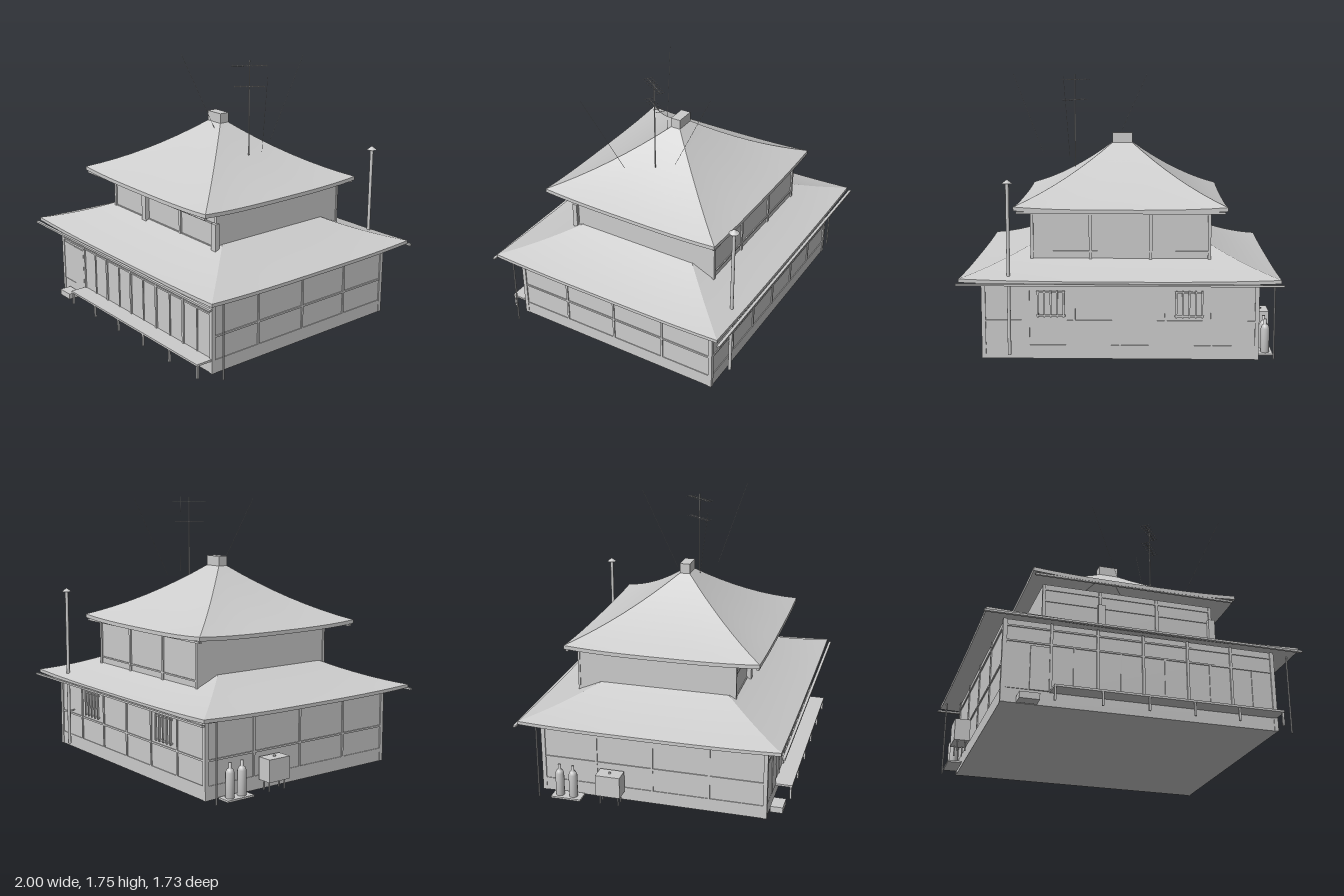
import * as THREE from 'three';

const plaster = new THREE.MeshStandardMaterial({ color: 0xcccccc });
plaster.name = 'plain grey';

function add(parent, geometry, name) {
  const mesh = new THREE.Mesh(geometry, plaster);
  mesh.name = name;
  parent.add(mesh);
  return mesh;
}

// Box given by its min and max on each axis
function box(parent, name, x0, x1, y0, y1, z0, z1) {
  const mesh = add(parent, new THREE.BoxGeometry(x1 - x0, y1 - y0, z1 - z0), name);
  mesh.position.set((x0 + x1) / 2, (y0 + y1) / 2, (z0 + z1) / 2);
  return mesh;
}

// Round rod between two points
function rod(parent, name, a, b, r, sides = 6) {
  const p = new THREE.Vector3(...a), q = new THREE.Vector3(...b);
  const d = q.clone().sub(p);
  const mesh = add(parent, new THREE.CylinderGeometry(r, r, d.length(), sides), name);
  mesh.position.copy(p).add(q).multiplyScalar(0.5);
  mesh.quaternion.setFromUnitVectors(new THREE.Vector3(0, 1, 0), d.normalize());
  return mesh;
}

// Hipped roof shell: concave slope, eaves lifted at the corners
function hipRoof(parent, name, o) {
  const NU = 12, NV = 8;
  const group = new THREE.Group();
  group.name = name;
  parent.add(group);
  for (let side = 0; side < 4; side++) {
    const point = (s, t, drop) => {
      const hx = THREE.MathUtils.lerp(o.hx, o.tx, t), hz = THREE.MathUtils.lerp(o.hz, o.tz, t);
      const rise = (1 - o.curve) * t + o.curve * t * t;
      const y = o.y0 + (o.y1 - o.y0) * rise + o.lift * Math.abs(s) ** 3 * (1 - t) ** 2 - drop;
      return [[s * hx, y, hz], [hx, y, -s * hz], [-s * hx, y, -hz], [-hx, y, s * hz]][side];
    };
    const sheet = (label, rows) => {
      const pos = [], idx = [];
      rows.forEach(([t, drop]) => {
        for (let i = 0; i <= NU; i++) pos.push(...point(2 * i / NU - 1, t, drop));
      });
      for (let j = 0; j < rows.length - 1; j++) {
        for (let i = 0; i < NU; i++) {
          const a = j * (NU + 1) + i, c = a + NU + 1;
          idx.push(a, a + 1, c + 1, a, c + 1, c);
        }
      }
      const g = new THREE.BufferGeometry();
      g.setAttribute('position', new THREE.Float32BufferAttribute(pos, 3));
      g.setIndex(idx);
      g.computeVertexNormals();
      add(group, g, label);
    };
    const steps = Array.from({ length: NV + 1 }, (_, j) => j / NV);
    sheet('roofSlope', steps.map(t => [t, 0]));
    sheet('eaveFascia', [[0, o.thick], [0, 0]]);
    sheet('soffit', steps.map(t => [t, o.thick]).reverse());
  }
}

export function createModel() {
  const house = new THREE.Group();
  house.name = 'house';

  // Ground floor
  box(house, 'lowerWalls', -0.855, 0.855, 0, 0.52, -0.732, 0.732);
  box(house, 'plinth', -0.86, 0.86, 0, 0.087, -0.737, 0.737);
  for (const sx of [-1, 1]) {
    const a = sx * 0.853, b = sx * 0.862, x0 = Math.min(a, b), x1 = Math.max(a, b);
    for (const z of [-0.37, 0, 0.37]) box(house, 'sidePost', x0, x1, 0.087, 0.52, z - 0.007, z + 0.007);
    for (const y of [0.24, 0.47]) box(house, 'sideBatten', x0, x1, y - 0.006, y + 0.006, -0.732, 0.732);
    for (const sz of [-1, 1]) {
      box(house, 'cornerPost', sx * 0.85 - 0.013, sx * 0.85 + 0.013, 0, 0.52, sz * 0.728 - 0.013, sz * 0.728 + 0.013);
    }
  }

  // Back wall timbers and barred windows
  for (const x of [-0.57, -0.285, 0, 0.285, 0.57]) {
    box(house, 'backPost', x - 0.007, x + 0.007, 0.087, 0.52, -0.739, -0.73);
  }
  for (const y of [0.24, 0.47]) box(house, 'backBatten', -0.855, 0.855, y - 0.006, y + 0.006, -0.738, -0.73);
  for (const x of [-0.43, 0.43]) {
    for (const y of [0.275, 0.425]) box(house, 'windowRail', x - 0.09, x + 0.09, y - 0.005, y + 0.005, -0.742, -0.73);
    for (let i = 0; i < 5; i++) {
      const bx = x - 0.08 + i * 0.04;
      box(house, 'windowBar', bx - 0.005, bx + 0.005, 0.265, 0.435, -0.748, -0.738);
    }
  }

  // Front sliding doors
  for (const x of [-0.57, -0.285, 0, 0.285, 0.57]) {
    box(house, 'frontPost', x - 0.008, x + 0.008, 0.087, 0.52, 0.73, 0.742);
  }
  for (const x of [-0.43, -0.14, 0.14, 0.43, 0.71]) {
    box(house, 'doorMullion', x - 0.005, x + 0.005, 0.095, 0.385, 0.73, 0.738);
  }
  for (const y of [0.385, 0.48]) box(house, 'frontBatten', -0.855, 0.855, y - 0.005, y + 0.005, 0.73, 0.739);
  box(house, 'entranceDoorLeft', -0.84, -0.7, 0.09, 0.365, 0.73, 0.737);
  box(house, 'entranceDoorRight', -0.695, -0.58, 0.09, 0.365, 0.73, 0.742);

  // Veranda deck and step
  box(house, 'verandaDeck', -0.575, 0.855, 0.083, 0.096, 0.73, 0.85);
  for (let i = 0; i < 6; i++) {
    const x = -0.568 + i * 0.283;
    box(house, 'verandaPost', x - 0.006, x + 0.006, 0, 0.084, 0.834, 0.846);
  }
  box(house, 'entranceStep', -0.77, -0.65, 0, 0.04, 0.745, 0.825);

  // Roofs and ridge cap
  hipRoof(house, 'lowerRoof', { hx: 0.985, hz: 0.84, tx: 0.57, tz: 0.425, y0: 0.513, y1: 0.675, curve: 0.25, lift: 0.015, thick: 0.022 });
  hipRoof(house, 'upperRoof', { hx: 0.67, hz: 0.637, tx: 0.06, tz: 0.027, y0: 0.924, y1: 1.3, curve: 0.32, lift: 0.018, thick: 0.025 });
  box(house, 'ridgeCap', -0.067, 0.067, 1.292, 1.36, -0.034, 0.034);

  // Gutters and downpipes
  for (const s of [-1, 1]) {
    box(house, 'lowerGutter', -1, 1, 0.49, 0.502, s * 0.857 - 0.009, s * 0.857 + 0.009);
    box(house, 'upperGutter', -0.655, 0.655, 0.898, 0.91, s * 0.622 - 0.008, s * 0.622 + 0.008);
    rod(house, 'downpipe', [s * 0.957, 0, s * 0.73], [s * 0.957, 0.51, s * 0.73], 0.005, 8);
  }

  // Upper floor
  box(house, 'upperWalls', -0.565, 0.565, 0.5, 0.925, -0.575, 0.462);
  for (const x of [-0.56, -0.19, 0.19, 0.56]) {
    box(house, 'upperFrontPost', x - 0.01, x + 0.01, 0.6, 0.92, 0.455, 0.472);
    box(house, 'upperBackPost', x - 0.01, x + 0.01, 0.57, 0.92, -0.584, -0.57);
  }
  for (const y of [0.655, 0.81, 0.89]) box(house, 'upperFrontBatten', -0.565, 0.565, y - 0.005, y + 0.005, 0.46, 0.468);
  for (const y of [0.65, 0.89]) box(house, 'upperBackBatten', -0.565, 0.565, y - 0.005, y + 0.005, -0.581, -0.57);
  for (const x of [-0.187, 0.562]) box(house, 'shutterBox', x - 0.022, x + 0.022, 0.645, 0.822, 0.46, 0.492);

  // Flue pipe with cap and brackets
  rod(house, 'flue', [0.685, 0.035, -0.777], [0.685, 1.11, -0.777], 0.011, 12);
  const cap = add(house, new THREE.ConeGeometry(0.033, 0.025, 12), 'flueCap');
  cap.position.set(0.685, 1.12, -0.777);
  for (const y of [0.27, 0.465]) rod(house, 'flueBracket', [0.685, y, -0.777], [0.685, y, -0.73], 0.004);

  // Tank on legs and gas cylinders at the side
  box(house, 'sideTank', -0.97, -0.87, 0.065, 0.207, -0.34, -0.18);
  for (const x of [-0.945, -0.895]) {
    for (const z of [-0.32, -0.2]) rod(house, 'tankLeg', [x, 0, z], [x, 0.07, z], 0.005);
  }
  rod(house, 'tankFiller', [-0.92, 0.2, -0.26], [-0.92, 0.217, -0.26], 0.008, 8);
  box(house, 'cylinderBase', -0.962, -0.87, 0, 0.012, -0.65, -0.45);
  for (const z of [-0.6, -0.51]) {
    const profile = [[0, 0.01], [0.028, 0.01], [0.028, 0.165], [0.02, 0.185], [0.01, 0.192], [0.01, 0.225], [0, 0.225]];
    const bottle = add(house, new THREE.LatheGeometry(profile.map(p => new THREE.Vector2(...p)), 16), 'gasCylinder');
    bottle.position.set(-0.917, 0, z);
  }

  // Aerial mast with two rows of elements
  const aerial = new THREE.Group();
  aerial.name = 'aerial';
  house.add(aerial);
  rod(aerial, 'mast', [0.32, 1.125, 0], [0.32, 1.75, 0], 0.004, 8);
  for (const [y, len, n] of [[1.715, 0.23, 8], [1.58, 0.2, 6]]) {
    const at = (u, v) => [0.32 + 0.6 * u + 0.4 * 2 * v, y, -0.8 * u + 0.6 * v];
    rod(aerial, 'boom', at(-len / 2, 0), at(len / 2, 0), 0.003);
    for (let i = 0; i < n; i++) {
      const u = (i / (n - 1) - 0.5) * len * 0.95, half = 0.034 - 0.001 * i;
      rod(aerial, 'element', at(u, -half), at(u, half), 0.002);
    }
  }

  // Stay wires
  rod(house, 'stayWire', [-0.165, 1.745, 0.18], [0.06, 1.25, 0.07], 0.0012, 4);
  rod(house, 'stayWire', [0.765, 1.745, 0.24], [0.545, 1.21, 0.085], 0.0012, 4);
  rod(house, 'stayWire', [0.365, 1.745, -0.425], [0.345, 1.21, -0.165], 0.0012, 4);

  return house;
}
